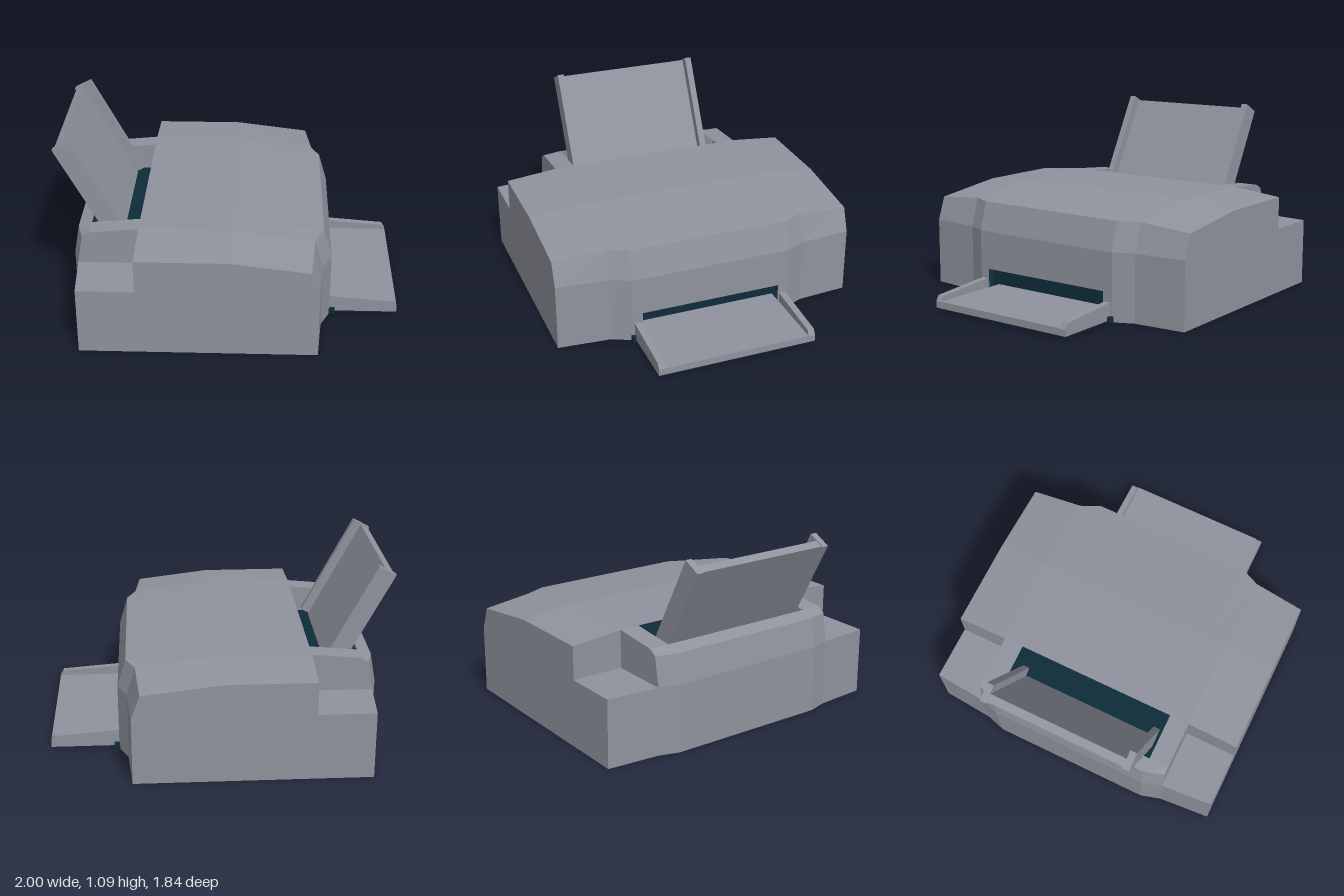
import * as THREE from 'three';

const mat = (name, color, side = THREE.FrontSide) => {
  const m = new THREE.MeshStandardMaterial({ color, side });
  m.name = name;
  return m;
};

// Flat-shaded geometry from a list of [x, y, z] triangle corners
function facets(points) {
  const g = new THREE.BufferGeometry();
  g.setAttribute('position', new THREE.Float32BufferAttribute(points.flat(), 3));
  g.computeVertexNormals();
  return g;
}

// Side profile (x, y) running from back bottom, over the top, to front bottom
function section(z, back, front, drop, notched) {
  const rear = notched
    ? [[-0.51, 0.4], [-0.51, 0.4]]
    : [[back + 0.03, 0.57], [-0.79, 0.598]];
  return [
    [back, 0], [back, 0.4], ...rear,
    [-0.51, 0.625 - drop], [0.02, 0.625 - drop],
    [front - 0.05, 0.57 - drop], [front, 0.4],
    [front, 0.17], [front, 0.05], [front, 0],
  ].map(([x, y]) => [x, y, z]);
}

// Extrude an (x, y) outline along z
function slab(outline, z0, z1) {
  const shape = new THREE.Shape(outline.map(([x, y]) => new THREE.Vector2(x, y)));
  const g = new THREE.ExtrudeGeometry(shape, { depth: z1 - z0, bevelEnabled: false });
  return g.translate(0, 0, z0);
}

function box(x0, x1, y0, y1, z0, z1) {
  return new THREE.BoxGeometry(x1 - x0, y1 - y0, z1 - z0)
    .translate((x0 + x1) / 2, (y0 + y1) / 2, (z0 + z1) / 2);
}

export function createModel() {
  const group = new THREE.Group();
  const grey = mat('grey plastic', 0x8f939d);
  const shellGrey = mat('grey shell', 0x8f939d, THREE.DoubleSide);
  const dark = mat('dark interior', 0x0e2c3a, THREE.DoubleSide);
  const add = (name, geometry, material) => {
    const mesh = new THREE.Mesh(geometry, material);
    mesh.name = name;
    group.add(mesh);
  };

  // Housing cross-sections, one half mirrored to the other
  const half = [
    [0.43, -0.9, 0.6, 0, false],
    [0.49, -0.9, 0.6, 0, false],
    [0.61, -0.865, 0.545, 0, false],
    [0.61, -0.865, 0.545, 0, true],
    [0.92, -0.84, 0.52, 0.03, true],
  ];
  const sections = [
    ...half.map(([z, ...rest]) => section(-z, ...rest)).reverse(),
    ...half.map((s) => section(...s)),
  ];
  const shell = [];
  const base = [];
  for (let i = 0; i < sections.length - 1; i++) {
    const p = sections[i], q = sections[i + 1], last = p.length - 1;
    const zMid = Math.abs(p[0][2] + q[0][2]) / 2;
    for (let j = 0; j < last; j++) {
      if (j === 3 && zMid < 0.49) continue; // paper feed opening
      if (j === 8 && zMid < 0.43) continue; // paper exit opening
      shell.push(p[j], q[j], q[j + 1], p[j], q[j + 1], p[j + 1]);
    }
    base.push(p[last], q[last], q[0], p[last], q[0], p[0]);
  }
  // End caps fan out from the inner corner of the notch
  for (const [s, flip] of [[sections[0], true], [sections[sections.length - 1], false]]) {
    for (let j = 0; j < s.length; j++) {
      const a = s[j], b = s[(j + 1) % s.length];
      shell.push(s[2], ...(flip ? [a, b] : [b, a]));
    }
  }
  add('housing', facets(shell), shellGrey);
  add('basePlate', facets(base), dark);

  // Dark mechanism seen through both openings
  add('mechanism', box(-0.84, 0.5, 0.01, 0.46, -0.485, 0.485), dark);

  // Paper support leaning back out of the feed opening
  const lean = (x, y, d) => [x + d * 0.47, y - d * 0.883];
  const strip = (back, front, length) => [back, lean(...back, length), lean(...front, length), front];
  add('paperSupport', slab(strip([-0.99, 1.04], [-0.945, 1.063], 0.7), -0.42, 0.42), grey);
  for (const z of [-0.46, 0.42]) {
    add('paperGuide', slab(strip([-1, 1.04], [-0.9, 1.093], 0.68), z, z + 0.04), grey);
  }

  // Output tray with side rails and dark underside
  add('outputTray', box(0.5, 1, 0.012, 0.053, -0.44, 0.44), grey);
  const rail = [[0.6, 0.012], [1, 0.012], [1, 0.05], [0.98, 0.083], [0.6, 0.113]];
  for (const z of [-0.48, 0.44]) add('trayRail', slab(rail, z, z + 0.04), grey);
  add('trayUnderside', box(0.6, 1, 0.006, 0.012, -0.48, 0.48), dark);
  add('trayHinge', box(0.56, 0.63, 0.002, 0.035, -0.5, 0.5), dark);

  return group;
}
